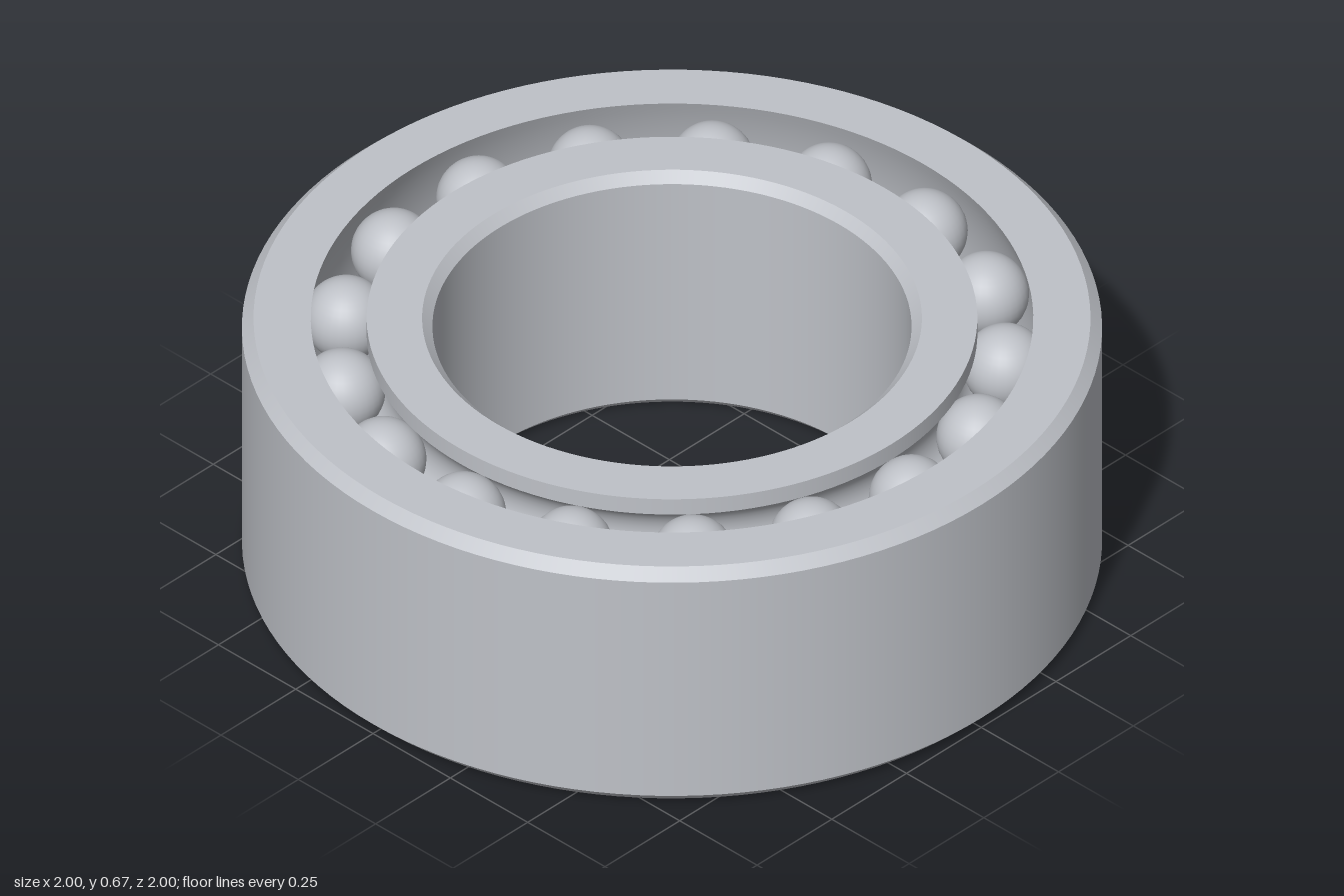
import * as THREE from 'three';
import { mergeGeometries } from 'three/addons/utils/BufferGeometryUtils.js';

const HALF = 0.335;          // half of the bearing's width
const BALL_R = 0.1, PITCH_R = 0.775, ROW_Y = 0.215, BALLS = 17;
const SEGMENTS = 128;

// Points along an arc in the profile plane (radius, height)
function arc(cx, cy, r, from, to, steps) {
  return Array.from({ length: steps + 1 }, (_, i) => {
    const a = from + (to - from) * i / steps;
    return [cx + r * Math.cos(a), cy + r * Math.sin(a)];
  });
}

// Each run of points is smooth; the edges between runs stay sharp
function ring(name, runs, material) {
  const parts = runs.map(run =>
    new THREE.LatheGeometry(run.map(([r, y]) => new THREE.Vector2(r, y)), SEGMENTS));
  const mesh = new THREE.Mesh(mergeGeometries(parts), material);
  mesh.name = name;
  return mesh;
}

// Straight sharp-edged runs between successive points
function straight(points) {
  return points.slice(1).map((p, i) => [points[i], p]);
}

export function createModel() {
  const steel = new THREE.MeshStandardMaterial({ color: 0xbfc2c8 });
  steel.name = 'steel';
  const group = new THREE.Group();
  group.name = 'ballBearing';
  const bearing = new THREE.Group();
  bearing.name = 'bearing';
  bearing.position.y = HALF;
  group.add(bearing);

  // Outer ring: chamfered outside, spherical raceway inside
  const bore = 0.84, c = 0.027;
  const sphereR = Math.hypot(bore, HALF), tilt = Math.atan2(HALF, bore);
  bearing.add(ring('outerRing', [
    ...straight([[bore, -HALF], [1 - c, -HALF], [1, -HALF + c],
      [1, HALF - c], [1 - c, HALF], [bore, HALF]]),
    arc(0, 0, sphereR, tilt, -tilt, 20),
  ], steel));

  // Inner ring: two ball grooves outside, chamfered bore inside
  const land = 0.71, inner = 0.557, ic = 0.024;
  const half = Math.acos((PITCH_R - land) / BALL_R);
  const dy = BALL_R * Math.sin(half);
  const groove = y => arc(PITCH_R, y, BALL_R, Math.PI + half, Math.PI - half, 12);
  bearing.add(ring('innerRing', [
    [[land, -HALF], [land, -ROW_Y - dy]],
    groove(-ROW_Y),
    [[land, -ROW_Y + dy], [land, ROW_Y - dy]],
    groove(ROW_Y),
    ...straight([[land, ROW_Y + dy], [land, HALF], [inner + ic, HALF],
      [inner, HALF - ic], [inner, -HALF + ic], [inner + ic, -HALF], [land, -HALF]]),
  ], steel));

  // Two aligned rows of balls
  const ballGeometry = new THREE.SphereGeometry(BALL_R, 32, 20);
  for (const side of [-1, 1]) {
    const row = new THREE.Group();
    row.name = side > 0 ? 'upperBallRow' : 'lowerBallRow';
    for (let i = 0; i < BALLS; i++) {
      const a = i / BALLS * Math.PI * 2;
      const ball = new THREE.Mesh(ballGeometry, steel);
      ball.name = 'ball';
      ball.position.set(PITCH_R * Math.cos(a), side * ROW_Y, PITCH_R * Math.sin(a));
      row.add(ball);
    }
    bearing.add(row);
  }
  return group;
}
